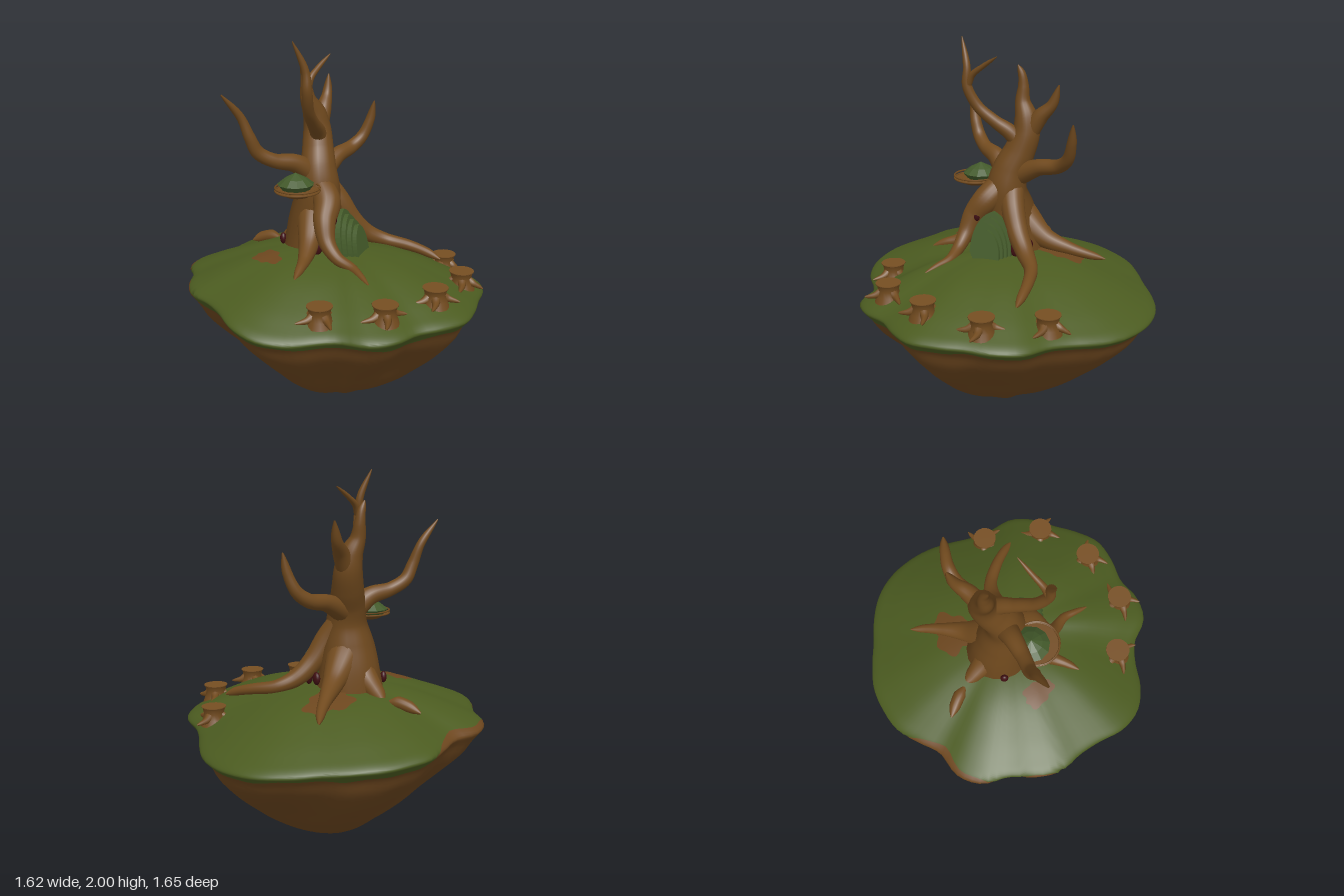
import * as THREE from 'three';

const mat = (name, color) => {
  const m = new THREE.MeshStandardMaterial({ color });
  m.name = name;
  return m;
};
const V2 = (a) => new THREE.Vector2(a[0], a[1]);

// Island outline every 10 degrees and rim height offset every 30 degrees, from +x towards +z
const OUTLINE = [.79, .75, .72, .73, .79, .80, .79, .81, .83, .80, .765, .80, .80, .73, .74, .80, .835, .825,
  .785, .78, .82, .815, .80, .85, .84, .77, .79, .825, .83, .83, .81, .80, .82, .84, .84, .82];
const LIFT = [-.06, -.025, 0, 0, -.005, -.02, .045, .05, .025, .005, -.02, -.05];
// Island section: fraction of the outline, height
const SECTION = new THREE.SplineCurve([[0, .885], [.25, .875], [.5, .837], [.75, .762], [.9, .708], [.97, .68],
  [1, .655], [.98, .63], [.94, .59], [.88, .51], [.75, .4], [.62, .3], [.49, .2], [.33, .1], [.21, .045],
  [.1, .012], [0, 0]].map(V2));
const LAST = 16;

// Smooth periodic lookup in a ring of values
function around(ring, theta) {
  const n = ring.length, k = ((theta / (Math.PI * 2)) % 1 + 1) % 1 * n, i = Math.floor(k), t = k - i;
  const p = (j) => ring[(i + j + n) % n];
  return p(0) + .5 * t * (p(1) - p(-1) + t * (2 * p(-1) - 5 * p(0) + 4 * p(1) - p(2)
    + t * (3 * (p(0) - p(1)) + p(2) - p(-1))));
}

// Point of the island surface at section position u and angle theta
function islandPoint(u, theta) {
  const p = SECTION.getPoint(u / LAST);
  const low = THREE.MathUtils.smoothstep(u, 8, 11) * THREE.MathUtils.smoothstep(LAST - u, 0, 4);
  const ripple = .035 * Math.sin(5 * theta + .6 + p.y * 2) + .02 * Math.sin(8 * theta + 2 + p.y * 4) + .03 * Math.cos(theta);
  const r = p.x * around(OUTLINE, theta) * (1 + low * ripple);
  const y = p.y + around(LIFT, theta) * p.x * Math.min(1, p.y / .65);
  return [r * Math.cos(theta), y, r * Math.sin(theta)];
}

function groundAt(x, z) {
  const theta = Math.atan2(z, x), f = Math.hypot(x, z) / around(OUTLINE, theta);
  let a = 0, b = 6;
  for (let i = 0; i < 24; i++) {
    const m = (a + b) / 2;
    if (SECTION.getPoint(m / LAST).x < f) a = m; else b = m;
  }
  return islandPoint(a, theta)[1];
}

// Section position where the grass gives way to soil
function grassEnd(theta) {
  const dip = (deg, width) => Math.exp(-(((theta * 180 / Math.PI - deg) / width) ** 4));
  return 7.5 + .3 * Math.sin(4 * theta + 1) + .2 * Math.sin(11 * theta) + .15 * Math.sin(23 * theta)
    - 2.7 * dip(247, 22) - 2.3 * dip(207, 8) - .6 * dip(10, 15);
}

function islandGeometry() {
  const sides = 120, top = 28, under = 30, rows = top + under, pos = [], idx = [];
  for (let i = 0; i <= rows; i++) for (let j = 0; j < sides; j++) {
    const th = j / sides * Math.PI * 2, g = grassEnd(th);
    pos.push(...islandPoint(i <= top ? g * i / top : g + (LAST - g) * (i - top) / under, th));
  }
  for (let i = 0; i < rows; i++) for (let j = 0; j < sides; j++) {
    const k = (j + 1) % sides, a = i * sides + j, b = a + sides, c = i * sides + k, d = c + sides;
    idx.push(a, c, b, c, d, b);
  }
  const g = new THREE.BufferGeometry();
  g.setAttribute('position', new THREE.Float32BufferAttribute(pos, 3));
  g.setIndex(idx);
  g.addGroup(0, top * sides * 6, 0);
  g.addGroup(top * sides * 6, under * sides * 6, 1);
  g.computeVertexNormals();
  return g;
}

// Tapering tube through points [x, y, z, radius], rounded off at its end
function limbGeometry(pts, sides = 14) {
  const curve = new THREE.CatmullRomCurve3(pts.map((p) => new THREE.Vector3(p[0], p[1], p[2])));
  const seg = pts.length * 7, n = pts.length - 1;
  const g = new THREE.TubeGeometry(curve, seg, 1, sides);
  const pos = g.attributes.position, v = new THREE.Vector3();
  for (let i = 0; i <= seg; i++) {
    const c = curve.getPointAt(i / seg), k = curve.getUtoTmapping(i / seg) * n;
    const a = Math.min(Math.floor(k), n - 1);
    const r = THREE.MathUtils.lerp(pts[a][3], pts[a + 1][3], (k - a) ** (a === n - 1 ? 1.7 : 1));
    for (let j = 0; j <= sides; j++) {
      const q = i * (sides + 1) + j;
      v.fromBufferAttribute(pos, q).sub(c).multiplyScalar(r).add(c);
      pos.setXYZ(q, v.x, v.y, v.z);
    }
  }
  return g;
}

// Thin irregular patch lying on the ground
function patchGeometry(cx, cz, rx, rz) {
  const n = 40, rings = 6, pos = [], idx = [];
  for (let i = 0; i <= rings; i++) for (let j = 0; j < n; j++) {
    const t = j / n * Math.PI * 2, w = i / rings * (1 + .15 * Math.sin(3 * t + cx * 9) + .1 * Math.sin(7 * t));
    const x = cx + rx * w * Math.cos(t), z = cz + rz * w * Math.sin(t);
    pos.push(x, groundAt(x, z) + .005, z);
    if (i < rings) {
      const k = (j + 1) % n, a = i * n + j, c = i * n + k;
      idx.push(a, c, a + n, c, c + n, a + n);
    }
  }
  const g = new THREE.BufferGeometry();
  g.setAttribute('position', new THREE.Float32BufferAttribute(pos, 3));
  g.setIndex(idx);
  g.computeVertexNormals();
  return g;
}

export function createModel() {
  const root = new THREE.Group();
  const bark = mat('bark', 0x714a1e), soil = mat('soil', 0x6c461e), grass = mat('grass', 0x4b5b20);
  const cutWood = mat('cut wood', 0x764e22), leaf = mat('door green', 0x455c2a), hollow = mat('hollow', 0x400f12);
  const add = (parent, name, geo, m, x = 0, y = 0, z = 0) => {
    const mesh = new THREE.Mesh(geo, m);
    mesh.name = name;
    mesh.position.set(x, y, z);
    parent.add(mesh);
    return mesh;
  };
  const group = (name, x = 0, y = 0, z = 0) => {
    const g = new THREE.Group();
    g.name = name;
    g.position.set(x, y, z);
    root.add(g);
    return g;
  };

  // Floating island with bare soil patches
  add(root, 'island', islandGeometry(), [grass, soil]);
  [[.19, -.255, .13, .11], [-.385, -.12, .06, .09]].forEach((p) => add(root, 'soilPatch', patchGeometry(...p), soil));

  // Tree: trunk, branches and roots
  const tree = group('tree');
  const limbs = {
    trunk: [[-.05, .78, -.12, .2], [-.055, .95, -.115, .165], [-.06, 1.08, -.095, .145], [-.06, 1.2, -.08, .112],
      [-.05, 1.3, -.1, .097], [-.02, 1.4, -.14, .086], [0, 1.5, -.17, .076], [-.01, 1.58, -.18, .064],
      [-.045, 1.66, -.19, .042], [-.05, 1.74, -.2, .03], [-.06, 1.8, -.2, .022], [-.085, 1.85, -.195, .003]],
    rightTopBranch: [[.01, 1.48, -.17, .05], [.07, 1.59, -.2, .044], [.125, 1.66, -.235, .028], [.155, 1.765, -.255, .003]],
    farSideBranch: [[-.06, 1.25, -.1, .07], [-.18, 1.34, -.13, .05], [-.3, 1.37, -.16, .038], [-.38, 1.42, -.19, .036],
      [-.42, 1.5, -.2, .031], [-.46, 1.61, -.22, .022], [-.56, 1.735, -.24, .003]],
    nearSideBranch: [[-.02, 1.27, -.11, .065], [.12, 1.335, -.14, .045], [.24, 1.36, -.16, .038], [.31, 1.41, -.15, .033],
      [.35, 1.5, -.13, .026], [.37, 1.61, -.115, .003]],
    tallBranch: [[.01, 1.4, -.15, .04], [-.05, 1.5, -.105, .044], [-.12, 1.56, -.055, .034], [-.195, 1.64, 0, .03],
      [-.235, 1.75, .04, .027], [-.24, 1.85, .035, .02], [-.3, 2, .01, .002]],
    tallBranchTwig: [[-.235, 1.75, .04, .024], [-.205, 1.81, .03, .018], [-.14, 1.86, .015, .013], [-.05, 1.917, 0, .002]],
    frontRoot: [[-.07, 1.24, -.09, .07], [-.1, 1.15, .03, .075], [-.155, 1.06, .075, .06], [-.175, .96, .12, .045],
      [-.165, .89, .19, .034], [-.14, .855, .28, .025], [-.15, .838, .35, .018], [-.165, .815, .43, .004]],
    frontSideRoot: [[-.04, 1.24, -.1, .07], [.03, 1.12, -.035, .065], [.1, 1.0, 0, .058], [.19, .91, .035, .048],
      [.28, .865, .09, .036], [.36, .84, .2, .03], [.405, .815, .29, .025], [.435, .785, .365, .004]],
    farSideRoot: [[-.12, 1.05, -.06, .09], [-.21, .93, .01, .055], [-.29, .875, .07, .035], [-.35, .855, .11, .025],
      [-.42, .825, .15, .003]],
    backSideRoot: [[.0, 1.03, -.14, .1], [.12, .92, -.2, .058], [.23, .865, -.28, .036], [.31, .83, -.35, .025],
      [.375, .8, -.42, .003]],
    backRoot: [[-.05, 1.03, -.14, .1], [-.07, .92, -.24, .065], [-.075, .86, -.32, .045], [-.075, .82, -.38, .005]],
    backRootEnd: [[-.09, .825, -.4, .01], [-.11, .832, -.45, .034], [-.135, .82, -.5, .032], [-.17, .79, -.56, .004]],
  };
  for (const [name, pts] of Object.entries(limbs)) add(tree, name, limbGeometry(pts, 18), bark);

  // Dark openings between the roots, flattened against the trunk: position, heading, width, height
  [[-.185, .915, .04, -.6, .035, .045], [.115, .91, .02, .7, .04, .045], [.125, .915, -.06, 1.4, .028, .035],
    [-.21, .905, -.215, -2.2, .022, .032], [-.115, 1.07, .1, .5, .025, .035]].forEach(([x, y, z, turn, w, h]) => {
    const hole = add(tree, 'hollow', new THREE.SphereGeometry(1, 14, 10), hollow, x, y, z);
    hole.scale.set(w, h, .018);
    hole.rotation.y = turn;
  });

  // Stepped pointed-arch door
  const door = group('door', -.02, .85, .07);
  door.rotation.set(-.18, .44, 0, 'YXZ');
  for (let i = 0; i < 4; i++) {
    const w = .118 - i * .014, h = .25 - i * .03, s = new THREE.Shape();
    s.moveTo(-w, 0);
    s.bezierCurveTo(-w, h * .55, -w * .6, h * .9, 0, h);
    s.bezierCurveTo(w * .6, h * .9, w, h * .55, w, 0);
    s.closePath();
    const depth = .05 + i * .024;
    add(door, 'doorLayer', new THREE.ExtrudeGeometry(s, { depth, bevelEnabled: false, curveSegments: 12 }), leaf);
  }

  // Lookout platform with a railing and a faceted roof
  const lookout = group('lookout', -.25, 1.2, -.03);
  add(lookout, 'platform', new THREE.CylinderGeometry(.115, .06, .03, 28), bark, 0, .013, 0);
  [.028, .043].forEach((y) => {
    add(lookout, 'railing', new THREE.TorusGeometry(.117, .005, 6, 36), bark, 0, y, 0).rotation.x = Math.PI / 2;
  });
  const roofMat = mat('roof green', 0x42592a);
  roofMat.flatShading = true;
  const roof = new THREE.LatheGeometry([[.075, .025], [.098, .055], [.06, .085], [0, .115]].map(V2), 11);
  add(lookout, 'roof', roof, roofMat, .012, 0, -.03);

  // Ring of stump seats with little roots
  [[-.465, .405], [-.235, .625], [.08, .66], [.39, .56], [.565, .275]].forEach(([x, z], i) => {
    const stump = group('stump', x, groundAt(x, z) - .004, z);
    stump.rotation.y = i * 1.3;
    const body = [[.075, -.03], [.062, .005], [.053, .035], [.06, .064], [.066, .072]].map(V2);
    add(stump, 'stumpBody', new THREE.LatheGeometry(body, 20), bark);
    add(stump, 'stumpTop', new THREE.CylinderGeometry(.066, .066, .004, 20), cutWood, 0, .072, 0);
    for (let k = 0; k < 4; k++) {
      const r = limbGeometry([[.03, .03, 0, .028], [.065, .01, 0, .019], [.095, .002, .008, .012], [.125, -.004, .02, .002]], 8);
      add(stump, 'stumpRoot', r, bark).rotation.y = k * Math.PI / 2 + .3 * Math.sin(k * 2 + i);
    }
  });
  return root;
}
